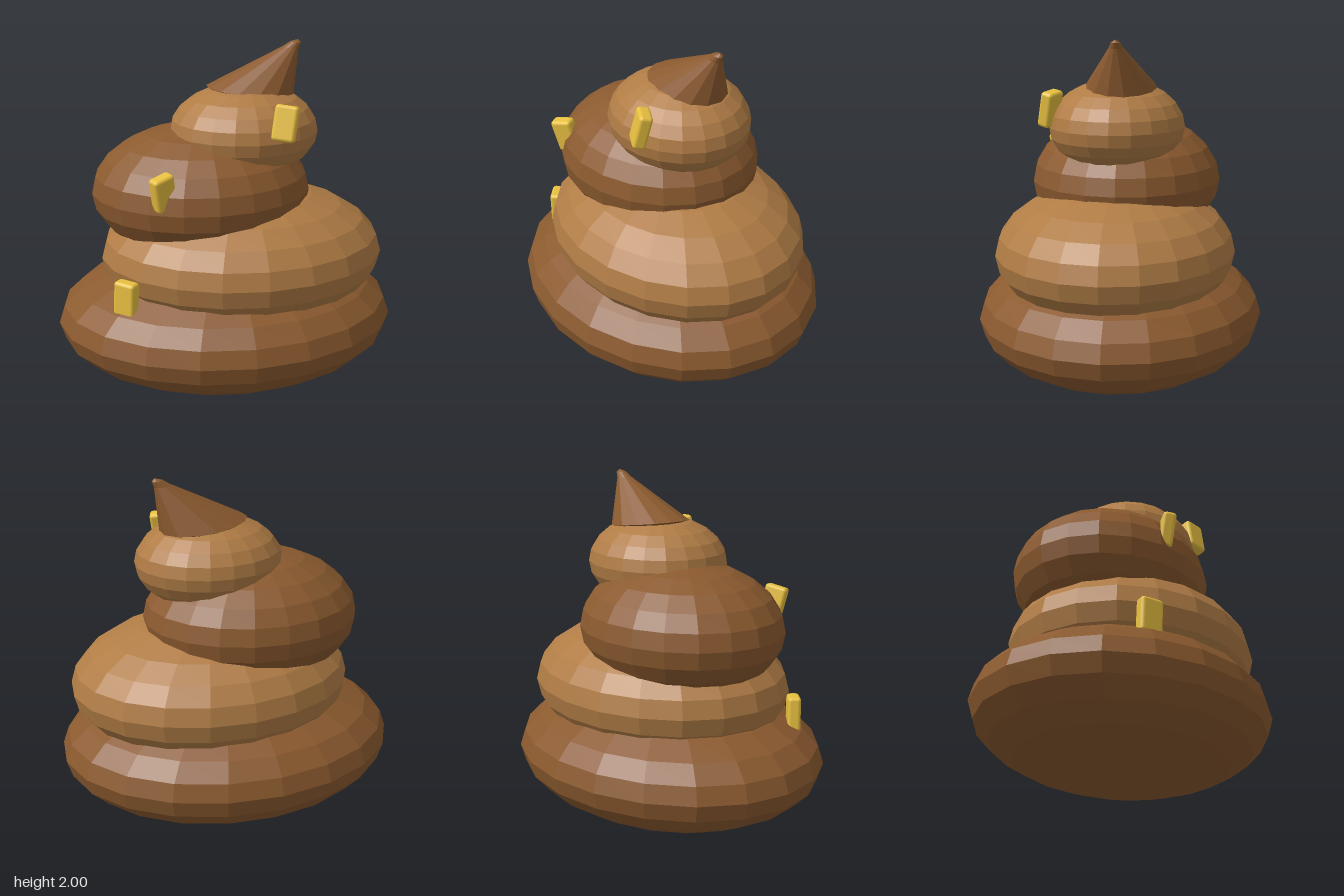
import * as THREE from 'three';
import { RoundedBoxGeometry } from 'three/addons/geometries/RoundedBoxGeometry.js';

const dark = new THREE.MeshStandardMaterial({ color: 0x8b5a2f, flatShading: true });
const light = new THREE.MeshStandardMaterial({ color: 0xb07c45, flatShading: true });
const yellow = new THREE.MeshStandardMaterial({ color: 0xe8c040 });

// Leaning tip: a lathe profile sheared towards +x
function tipGeometry() {
  const profile = [[0, 1.62], [0.25, 1.72], [0.047, 1.955], [0.03, 1.985], [0, 2]];
  const geo = new THREE.LatheGeometry(profile.map(p => new THREE.Vector2(...p)), 14);
  const pos = geo.attributes.position;
  for (let i = 0; i < pos.count; i++) {
    const x = pos.getX(i), y = pos.getY(i), z = pos.getZ(i);
    const lean = 0.145 + Math.max(0, y - 1.72);
    pos.setXYZ(i, x + lean, y - 0.12 * x, z * 0.82 - 0.015);
  }
  geo.computeVertexNormals();
  return geo;
}

export function createModel() {
  const group = new THREE.Group();
  const add = (name, geo, mat) => {
    const mesh = new THREE.Mesh(geo, mat);
    mesh.name = name;
    group.add(mesh);
    return mesh;
  };

  // Stacked squashed coils: name, centre, radii, material
  const coils = [
    ['baseCoil', [0, 0.39, 0], [0.99, 0.385, 0.825], dark],
    ['secondCoil', [0.095, 0.78, 0.02], [0.825, 0.395, 0.69], light],
    ['thirdCoil', [-0.14, 1.16, -0.02], [0.63, 0.38, 0.55], dark],
    ['topCoil', [0.105, 1.5, 0.01], [0.425, 0.265, 0.385], light],
  ];
  const sphere = new THREE.SphereGeometry(1, 20, 12);
  for (const [name, centre, radii, mat] of coils) {
    const coil = add(name, sphere, mat);
    coil.position.set(...centre);
    coil.scale.set(...radii);
  }

  add('tip', tipGeometry(), dark);

  // Small kernels stuck into the coils
  const kernelGeo = new RoundedBoxGeometry(0.13, 0.2, 0.075, 2, 0.02);
  const kernels = [
    ['upperKernel', [0.255, 1.61, 0.365], [-0.25, -0.4, -0.2]],
    ['middleKernel', [-0.43, 1.28, 0.425], [0.15, 0.5, 0.15]],
    ['lowerKernel', [-0.64, 0.675, 0.395], [0, -0.7, -0.05]],
  ];
  for (const [name, position, rotation] of kernels) {
    const kernel = add(name, kernelGeo, yellow);
    kernel.position.set(...position);
    kernel.rotation.set(...rotation);
  }
  return group;
}
